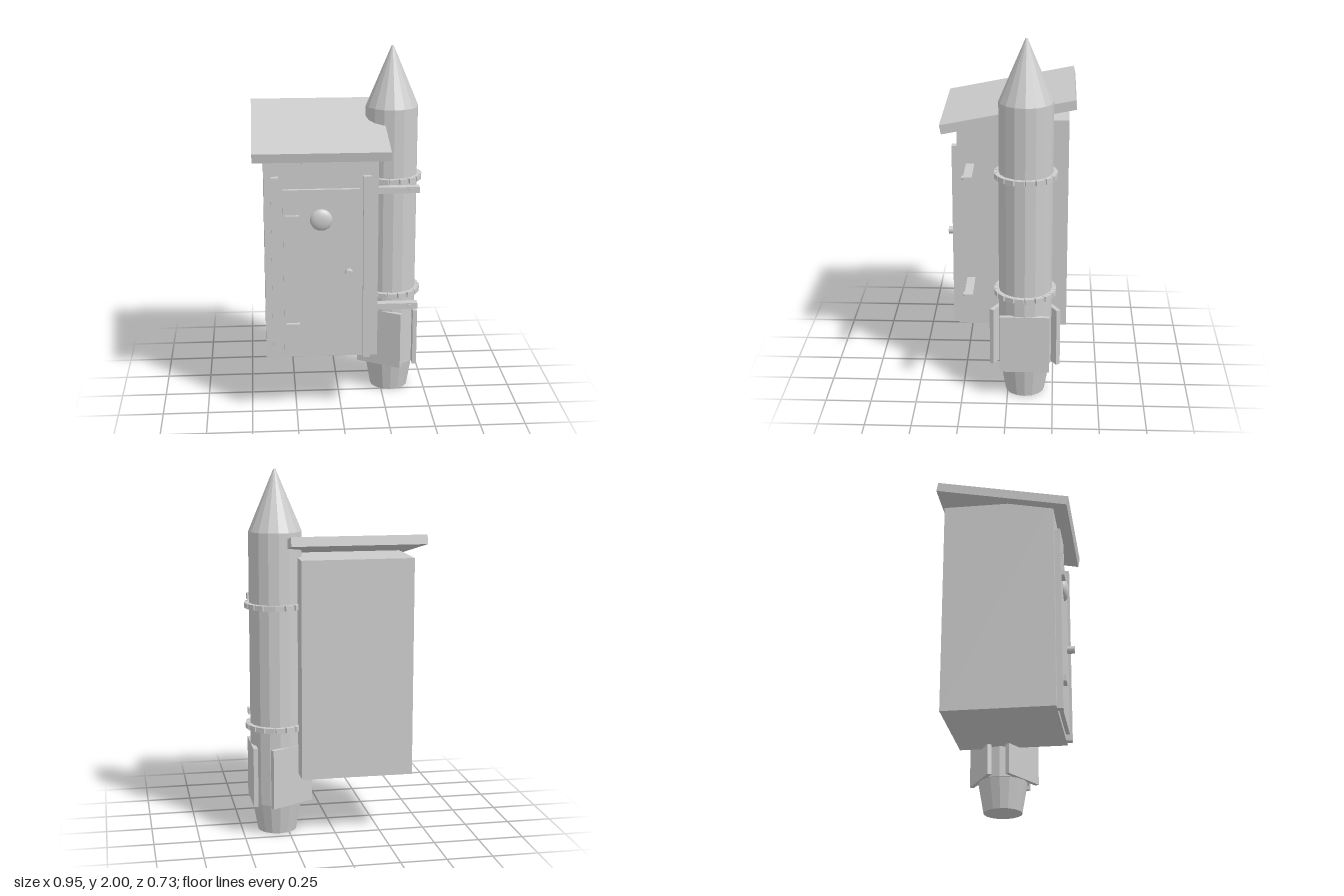
import * as THREE from 'three';
import { toCreasedNormals } from 'three/addons/utils/BufferGeometryUtils.js';

export function createModel() {
  const model = new THREE.Group();
  const grey = new THREE.MeshStandardMaterial({ color: 0xcccccc });
  grey.name = 'plain grey';

  function add(parent, name, geometry, x = 0, y = 0, z = 0) {
    const mesh = new THREE.Mesh(geometry, grey);
    mesh.name = name;
    mesh.position.set(x, y, z);
    parent.add(mesh);
    return mesh;
  }

  // box given by its minimum and maximum on each axis
  function span(parent, name, [x0, x1], [y0, y1], [z0, z1]) {
    const box = new THREE.BoxGeometry(x1 - x0, y1 - y0, z1 - z0);
    return add(parent, name, box, (x0 + x1) / 2, (y0 + y1) / 2, (z0 + z1) / 2);
  }

  // hut body and its tilted roof slab
  const hut = new THREE.Group();
  hut.name = 'hut';
  model.add(hut);
  span(hut, 'walls', [-0.415, 0.197], [0.34, 1.535], [-0.322, 0.278]);
  const roof = add(hut, 'roof', new THREE.BoxGeometry(0.73, 0.051, 0.73), -0.11, 1.566, 0.003);
  roof.rotation.x = Math.atan(0.2);

  // door with posts, sign and hinges
  span(hut, 'door', [-0.315, 0.095], [0.367, 1.305], [0.27, 0.3]);
  for (const x of [-0.378, 0.115]) {
    span(hut, 'doorPost', [x, x + 0.041], [0.34, 1.375], [0.27, 0.31]);
  }
  span(hut, 'sign', [-0.214, -0.012], [1.34, 1.472], [0.27, 0.295]);
  for (const y of [1.151, 0.535]) {
    span(hut, 'hinge', [-0.305, -0.23], [y - 0.016, y + 0.016], [0.29, 0.322]);
  }

  // domed round window
  const dome = new THREE.SphereGeometry(0.06, 32, 16);
  dome.scale(1, 1, 0.45);
  add(hut, 'window', dome, -0.111, 1.138, 0.3);

  // door knob
  const knob = new THREE.CylinderGeometry(0.021, 0.021, 0.046, 16);
  knob.rotateX(Math.PI / 2);
  add(hut, 'doorKnob', knob, 0.037, 0.84, 0.319);

  // side arms, each with a small bolt near the end
  for (const y of [1.273, 0.605]) {
    span(hut, 'sideArm', [0.19, 0.424], [y - 0.017, y + 0.017], [0.185, 0.23]);
    const bolt = new THREE.CylinderGeometry(0.012, 0.012, 0.02, 12);
    bolt.rotateX(Math.PI / 2);
    add(hut, 'armBolt', bolt, 0.38, y, 0.229);
  }

  // faceted rocket body turned from one profile
  const rocket = new THREE.Group();
  rocket.name = 'rocket';
  rocket.position.set(0.303, 0, -0.095);
  model.add(rocket);
  const profile = [
    [0, 0], [0.108, 0], [0.138, 0.17], [0.145, 0.17],
    [0.145, 1.67], [0.006, 2], [0, 2],
  ].map(([r, y]) => new THREE.Vector2(r, y));
  add(rocket, 'rocketBody', toCreasedNormals(new THREE.LatheGeometry(profile, 16), 0.1));

  // three flat fin plates around the base
  for (let i = 0; i < 3; i++) {
    const fin = new THREE.BoxGeometry(0.024, 0.33, 0.27);
    fin.translate(0.134, 0.335, 0);
    fin.rotateY((i * Math.PI * 2) / 3);
    add(rocket, 'fin', fin);
  }

  // segmented clamp rings
  for (const y of [1.272, 0.602]) {
    const ring = new THREE.Group();
    ring.name = 'clampRing';
    rocket.add(ring);
    for (let i = 0; i < 18; i++) {
      const block = new THREE.BoxGeometry(0.034, 0.028, 0.051);
      block.translate(0.152, y, 0);
      block.rotateY(((i + 0.5) * Math.PI) / 9);
      add(ring, 'ringBlock', block);
    }
  }
  return model;
}
